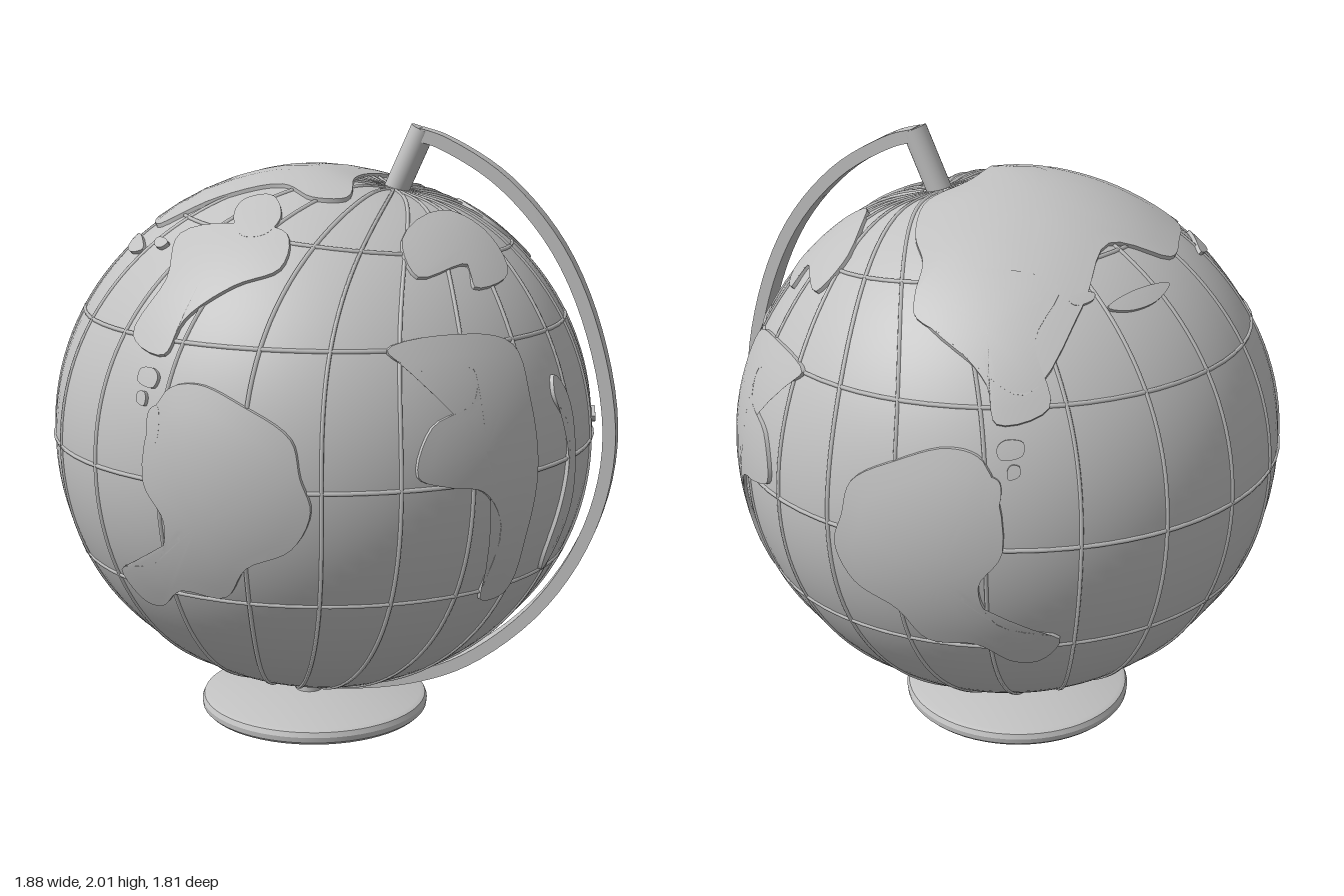
import * as THREE from 'three';
import { toCreasedNormals } from 'three/addons/utils/BufferGeometryUtils.js';

const CENTRE = new THREE.Vector3(-0.045, 0.993, 0);
const R = 0.895, SQUASH = 0.973, LAND = 0.012;
const V = (x, y, z) => new THREE.Vector3(x, y, z);
const POLE = V(0.27, 0.96, 0).normalize();

// Point on the globe in a direction; the surface dips a little round the upper pole
function onGlobe(d, raise = 0) {
  const dip = 0.035 * Math.exp(-Math.pow(d.angleTo(POLE) / 0.2, 2));
  const p = d.clone().multiplyScalar(R + raise - dip);
  p.y *= SQUASH;
  return p.add(CENTRE);
}

// Direction for a longitude and latitude, leaning towards the tilted poles
function direction(lon, lat) {
  const s = Math.sin(lat), c = Math.cos(lat);
  const lean = s > 0 ? 0.28 * s ** 3 : 0.12 * s ** 3;
  return V(c * Math.cos(lon) + lean, s, c * Math.sin(lon)).normalize();
}

// Turn a flat outline point (front, side or top plane) into a direction
function project(u, v, plane) {
  let a = plane === 'side' ? u : u - CENTRE.x;
  let b = plane === 'top' ? v : (v - CENTRE.y) / SQUASH;
  const len = Math.hypot(a, b), max = R * 0.995;
  if (len > max) { a *= max / len; b *= max / len; }
  const h = Math.sqrt(R * R - a * a - b * b);
  if (plane === 'front') return V(a, b, h).normalize();
  if (plane === 'side') return V(h, b, a).normalize();
  return V(a, h, b).normalize();
}

// Raised patch of land with a steep coast
function landGeometry(outline, plane, mirror) {
  const dirs = outline.map(([u, v]) => project(u, v, plane));
  if (mirror) dirs.forEach(d => { d.z *= -1; });
  const n = outline.length * 5;
  const coast = new THREE.CatmullRomCurve3(dirs, true).getPoints(n).slice(0, n);
  const mid = coast.reduce((s, d) => s.add(d), V(0, 0, 0)).normalize();
  const steps = [[0.001, LAND], [0.2, LAND], [0.4, LAND], [0.6, LAND], [0.8, LAND], [0.985, LAND], [1, -0.006]];
  const pos = [], idx = [];
  for (const [t, raise] of steps)
    for (const d of coast) pos.push(...onGlobe(mid.clone().lerp(d, t).normalize(), raise).toArray());
  let turn = 0;
  coast.forEach((d, i) => {
    turn += d.clone().sub(mid).cross(coast[(i + 1) % n].clone().sub(mid)).dot(mid);
  });
  for (let r = 0; r < steps.length - 1; r++)
    for (let i = 0; i < n; i++) {
      const a = r * n + i, b = r * n + (i + 1) % n, c = a + n, d = b + n;
      if (turn > 0) idx.push(a, c, b, b, c, d);
      else idx.push(a, b, c, b, d, c);
    }
  const g = new THREE.BufferGeometry();
  g.setAttribute('position', new THREE.Float32BufferAttribute(pos, 3));
  g.setIndex(idx);
  return toCreasedNormals(g, 0.5);
}

function islet(u, v, w, h) {
  return [0, 1, 2, 3, 4].map(i => {
    const a = i * Math.PI * 0.4, k = 1 + 0.3 * Math.sin(i * 7 + u * 20);
    return [u + w * k * Math.cos(a), v + h * k * Math.sin(a)];
  });
}

export function createModel() {
  const model = new THREE.Group();
  const grey = new THREE.MeshStandardMaterial({ color: 0xc2c2c2 });
  grey.name = 'grey';
  const add = (geometry, name, parent = model) => {
    const mesh = new THREE.Mesh(geometry, grey);
    mesh.name = name;
    parent.add(mesh);
    return mesh;
  };
  const group = name => {
    const g = new THREE.Group();
    g.name = name;
    model.add(g);
    return g;
  };

  // Ball
  const ball = new THREE.SphereGeometry(1, 96, 64);
  const bp = ball.attributes.position;
  for (let i = 0; i < bp.count; i++) {
    const p = onGlobe(V(0, 0, 0).fromBufferAttribute(bp, i).normalize());
    bp.setXYZ(i, p.x, p.y, p.z);
  }
  ball.computeVertexNormals();
  add(ball, 'ocean');

  // Raised lines of longitude and latitude
  const lines = group('gridLines');
  const tube = (pts, closed, name) =>
    add(new THREE.TubeGeometry(new THREE.CatmullRomCurve3(pts, closed), 64, 0.007, 5, closed), name, lines);
  const lons = [];
  for (let i = 0; i < 12; i++) lons.push(-90 + 15 * i);
  for (let i = 0; i < 10; i++) lons.push(90 + 18 * i);
  for (const lon of lons) {
    const pts = [];
    for (let i = 0; i <= 32; i++)
      pts.push(onGlobe(direction(lon * Math.PI / 180, (-88 + i * 5.5) * Math.PI / 180)));
    tube(pts, false, 'meridian');
  }
  for (const lat of [-24.5, 0.5, 28, 52]) {
    const pts = [];
    for (let i = 0; i < 48; i++) pts.push(onGlobe(direction(i * Math.PI / 24, lat * Math.PI / 180)));
    tube(pts, true, 'parallel');
  }

  // Land found on both the front and back halves
  const land = group('land');
  const southLand = [[-0.3, 1.27], [-0.2, 1.3], [-0.05, 1.25], [0.1, 1.16], [0.13, 1.05], [0.16, 0.95],
    [0.1, 0.83], [-0.04, 0.76], [-0.12, 0.65], [-0.27, 0.65], [-0.36, 0.57], [-0.43, 0.57], [-0.5, 0.67],
    [-0.34, 0.74], [-0.3, 0.88], [-0.37, 1.0]];
  const northLand = [[-0.45, 1.4], [-0.32, 1.36], [-0.27, 1.46], [-0.13, 1.56], [0, 1.61], [-0.01, 1.7],
    [-0.15, 1.72], [-0.38, 1.68], [-0.37, 1.56]];
  const eastLand = [[0.33, 1.4], [0.42, 1.34], [0.56, 1.33], [0.57, 1.24], [0.47, 1.18], [0.44, 1.04],
    [0.52, 1.0], [0.61, 0.97], [0.65, 0.85], [0.58, 0.6], [0.64, 0.6], [0.71, 0.8], [0.74, 1.0],
    [0.71, 1.22], [0.65, 1.38], [0.5, 1.43]];
  const upperEast = [[0.31, 1.68], [0.38, 1.58], [0.5, 1.6], [0.53, 1.54], [0.6, 1.56], [0.5, 1.68], [0.4, 1.74]];
  for (const mirror of [false, true]) {
    add(landGeometry(southLand, 'front', mirror), 'southContinent', land);
    add(landGeometry(northLand, 'front', mirror), 'northContinent', land);
    add(landGeometry(eastLand, 'front', mirror), 'eastContinent', land);
    add(landGeometry(upperEast, 'front', mirror), 'upperPeninsula', land);
    for (const [u, v, w, h] of [[-0.36, 1.3, 0.04, 0.025], [-0.33, 1.17, 0.02, 0.05], [-0.38, 1.24, 0.02, 0.02],
      [-0.58, 1.62, 0.05, 0.02], [-0.45, 1.65, 0.04, 0.015]])
      add(landGeometry(islet(u, v, w, h), 'front', mirror), 'islet', land);
  }

  // Land on the right side
  add(landGeometry([[0.28, 1.27], [0.31, 1.21], [0.26, 1.1], [0.29, 0.7], [0.25, 0.63], [0.21, 0.82],
    [0.22, 1.0], [0.23, 1.2]], 'side'), 'sidePeninsula', land);
  for (const [u, v, w, h] of [[-0.28, 0.95, 0.03, 0.035], [-0.36, 0.94, 0.025, 0.04], [-0.27, 0.81, 0.04, 0.025],
    [-0.35, 0.84, 0.02, 0.05], [-0.15, 1.06, 0.06, 0.03]])
    add(landGeometry(islet(u, v, w, h), 'side'), 'islet', land);

  // Polar land
  add(landGeometry([[-0.38, -0.7], [-0.2, -0.7], [0, -0.62], [0.03, -0.5], [0.1, -0.4], [0.15, -0.2],
    [0.1, -0.02], [0.1, 0.15], [0.12, 0.33], [0.02, 0.36], [-0.1, 0.28], [-0.3, 0.3], [-0.5, 0.3],
    [-0.58, 0.1], [-0.6, -0.05], [-0.45, -0.2], [-0.46, -0.45]], 'top'), 'polarLand', land);
  add(landGeometry([[-0.2, 0.35], [-0.12, 0.34], [-0.05, 0.46], [-0.08, 0.53], [-0.15, 0.53], [-0.21, 0.43]],
    'top'), 'polarIsland', land);

  // Curved arm, a flat strip swept round the right side
  const path = new THREE.CatmullRomCurve3([[0.28, 1.995], [0.36, 1.97], [0.56, 1.85], [0.75, 1.635], [0.88, 1.34],
    [0.937, 1.0], [0.88, 0.7], [0.72, 0.42], [0.48, 0.206], [0.27, 0.115], [0, 0.07], [-0.15, 0.08],
    [-0.24, 0.11]].map(([x, y]) => V(x, y, 0)));
  const outer = [], inner = [];
  for (let i = 0; i <= 64; i++) {
    const p = path.getPoint(i / 64), t = path.getTangent(i / 64);
    outer.push(new THREE.Vector2(p.x, p.y));
    inner.unshift(new THREE.Vector2(p.x + t.y * 0.042, p.y - t.x * 0.042));
  }
  const arm = new THREE.ExtrudeGeometry(new THREE.Shape([...outer, ...inner]), { depth: 0.074, bevelEnabled: false });
  arm.translate(0, 0, -0.037);
  add(toCreasedNormals(arm, 0.5), 'arm');

  // Tilted pivot pin at the top and collar at the bottom
  const pin = add(new THREE.CylinderGeometry(0.041, 0.041, 0.23, 24), 'topPin');
  pin.position.set(0.239, 1.885, 0);
  pin.rotation.z = -0.42;
  const collar = add(new THREE.CylinderGeometry(0.11, 0.105, 0.045, 32), 'bottomCollar');
  collar.position.set(-0.18, 0.125, 0);
  collar.rotation.z = -0.3;

  // Neck and round foot
  const neck = add(new THREE.CylinderGeometry(0.048, 0.048, 0.07, 24), 'neck');
  neck.position.set(-0.1, 0.07, 0);
  const foot = new THREE.LatheGeometry([[0, 0], [0.38, 0], [0.39, 0.01], [0.392, 0.028], [0.385, 0.044],
    [0.37, 0.051], [0, 0.051]].map(([x, y]) => new THREE.Vector2(x, y)), 64);
  add(toCreasedNormals(foot, 0.5), 'foot').position.x = -0.08;

  return model;
}
